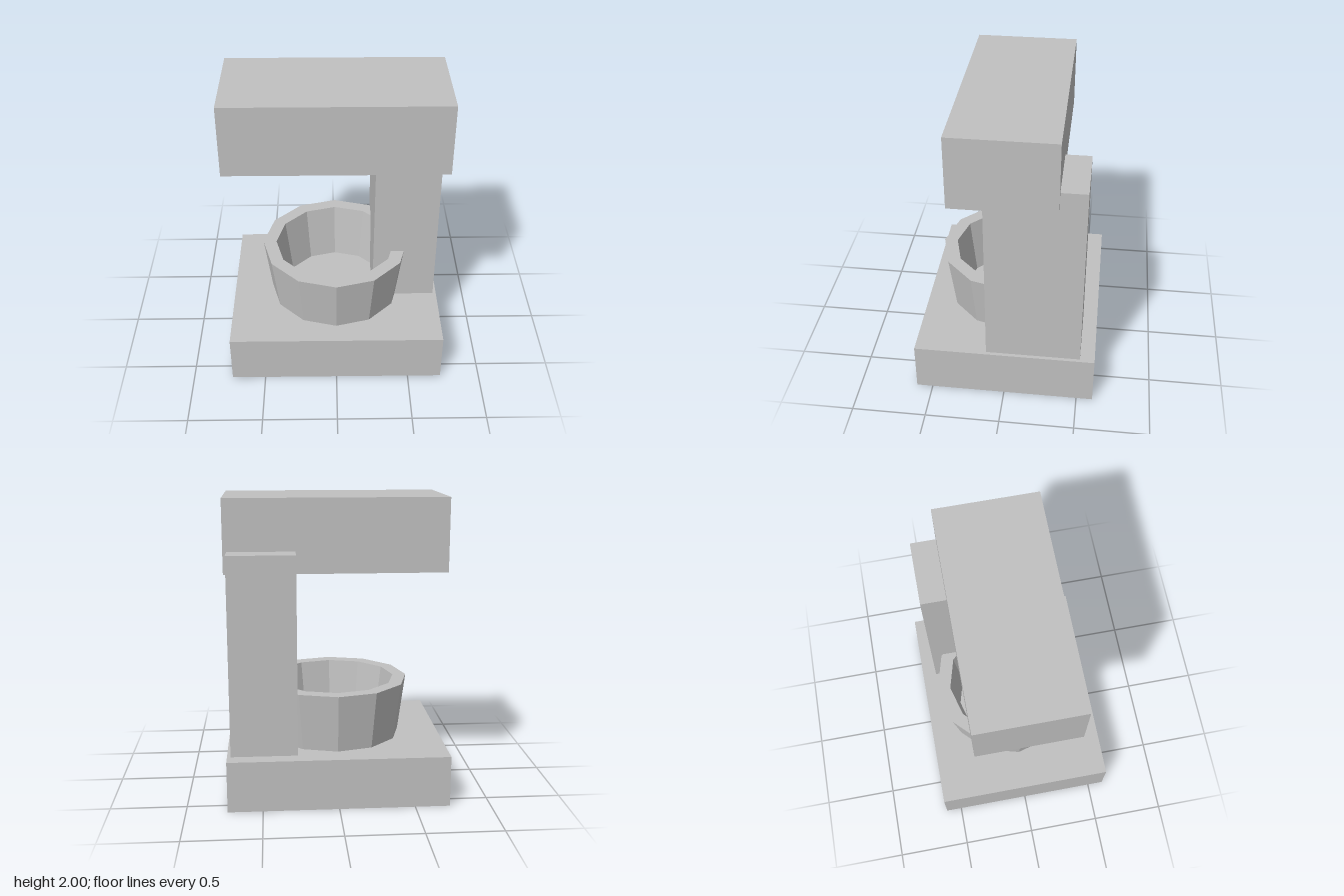
import * as THREE from 'three';

export function createModel() {
  const model = new THREE.Group();
  model.name = 'standMixer';

  const grey = new THREE.MeshStandardMaterial({ color: 0xc0c0c0 });
  grey.name = 'light grey';
  grey.flatShading = true;

  function add(name, geometry) {
    const mesh = new THREE.Mesh(geometry, grey);
    mesh.name = name;
    model.add(mesh);
  }

  // Box given by its lower and upper corners
  function addBox(name, [x0, y0, z0], [x1, y1, z1]) {
    const geometry = new THREE.BoxGeometry(x1 - x0, y1 - y0, z1 - z0);
    geometry.translate((x0 + x1) / 2, (y0 + y1) / 2, (z0 + z1) / 2);
    add(name, geometry);
  }

  addBox('base', [-0.73, 0, -0.61], [0.73, 0.342, 0.61]);
  addBox('column', [0.266, 0.342, -0.512], [0.706, 1.66, 0.122]);
  addBox('head', [-0.73, 1.514, -0.342], [0.73, 2, 0.342]);

  // Twelve-sided bowl: outer wall, rim, inner wall, floor
  const profile = [
    [0.46, 0.342], [0.512, 0.735], [0.42, 0.735], [0.365, 0.346], [0, 0.346],
  ].map(([r, y]) => new THREE.Vector2(r, y));
  add('bowl', new THREE.LatheGeometry(profile, 12));

  return model;
}
